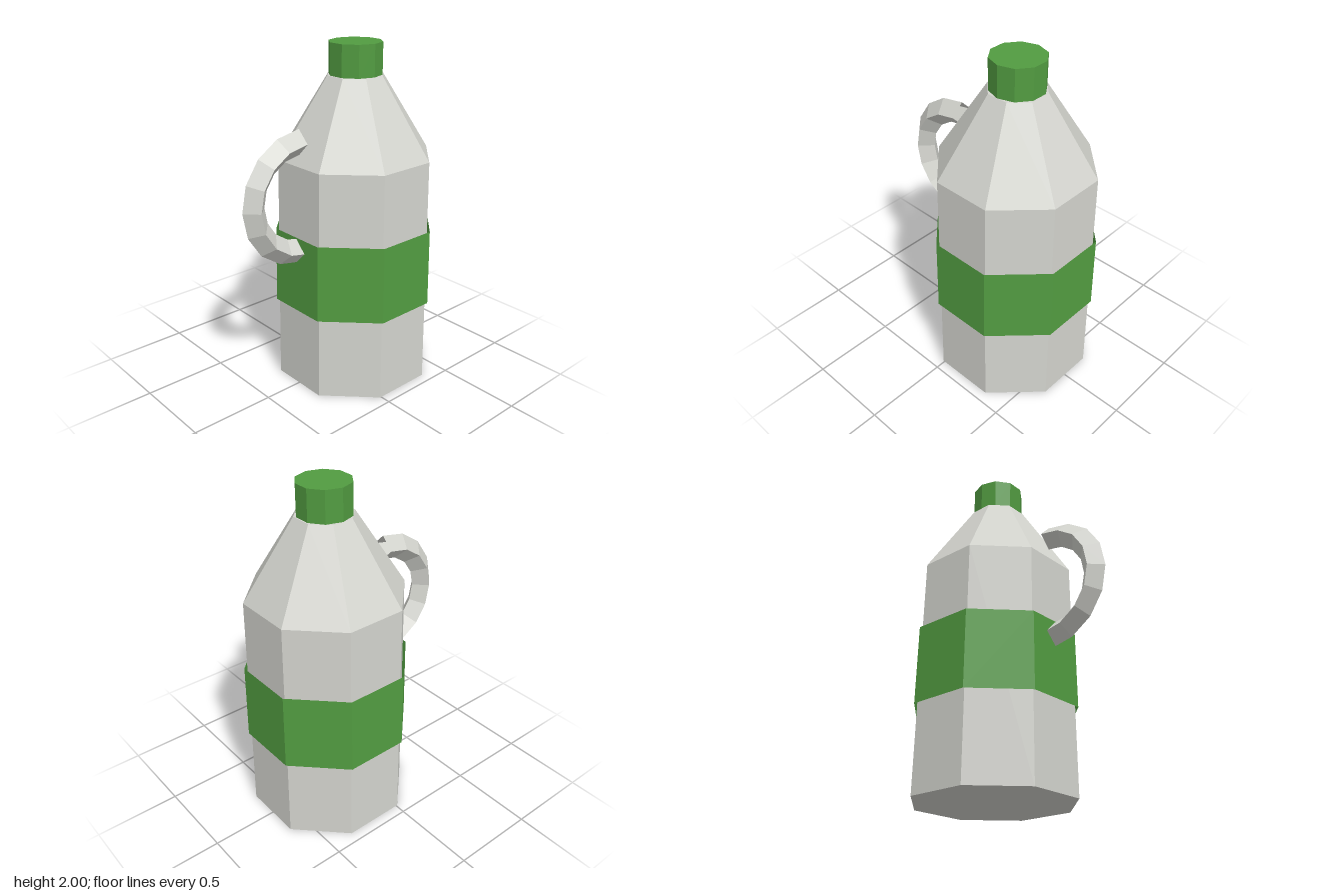
import * as THREE from 'three';

const AXIS_X = 0.173; // the bottle axis is offset so that the handle balances the width
const OCT = Math.cos(Math.PI / 8); // half-width across flats -> corner radius of an octagon

export function createModel() {
  const grey = new THREE.MeshStandardMaterial({ color: 0xd3d4ce, flatShading: true, side: THREE.DoubleSide });
  grey.name = 'pale grey plastic';
  const green = new THREE.MeshStandardMaterial({ color: 0x529c41, flatShading: true, side: THREE.DoubleSide });
  green.name = 'green plastic';

  const model = new THREE.Group();
  model.name = 'bottle';
  const add = (name, geometry, material, x, y) => {
    const mesh = new THREE.Mesh(geometry, material);
    mesh.name = name;
    mesh.position.set(x, y, 0);
    model.add(mesh);
  };

  // Octagonal body: closed base, slight taper, sloping shoulder, closed neck
  const profile = [[0, 0], [0.437, 0], [0.42, 1.365], [0.152, 1.82], [0, 1.82]]
    .map(([r, y]) => new THREE.Vector2(r / OCT, y));
  add('body', new THREE.LatheGeometry(profile, 8, Math.PI / 8), grey, AXIS_X, 0);

  // Label band: an open sleeve just outside the body
  add('labelBand', new THREE.CylinderGeometry(0.441 / OCT, 0.447 / OCT, 0.455, 8, 1, true, Math.PI / 8),
    green, AXIS_X, 0.7275);

  // Ten-sided screw cap
  add('cap', new THREE.CylinderGeometry(0.153, 0.153, 0.18, 10), green, AXIS_X, 1.91);

  // Half-ring handle with a diamond section and open ends
  const ring = new THREE.TorusGeometry(0.317, 0.072, 4, 8, Math.PI);
  ring.rotateZ(Math.PI / 2);
  add('handle', ring, grey, -0.236, 1.187);

  return model;
}
